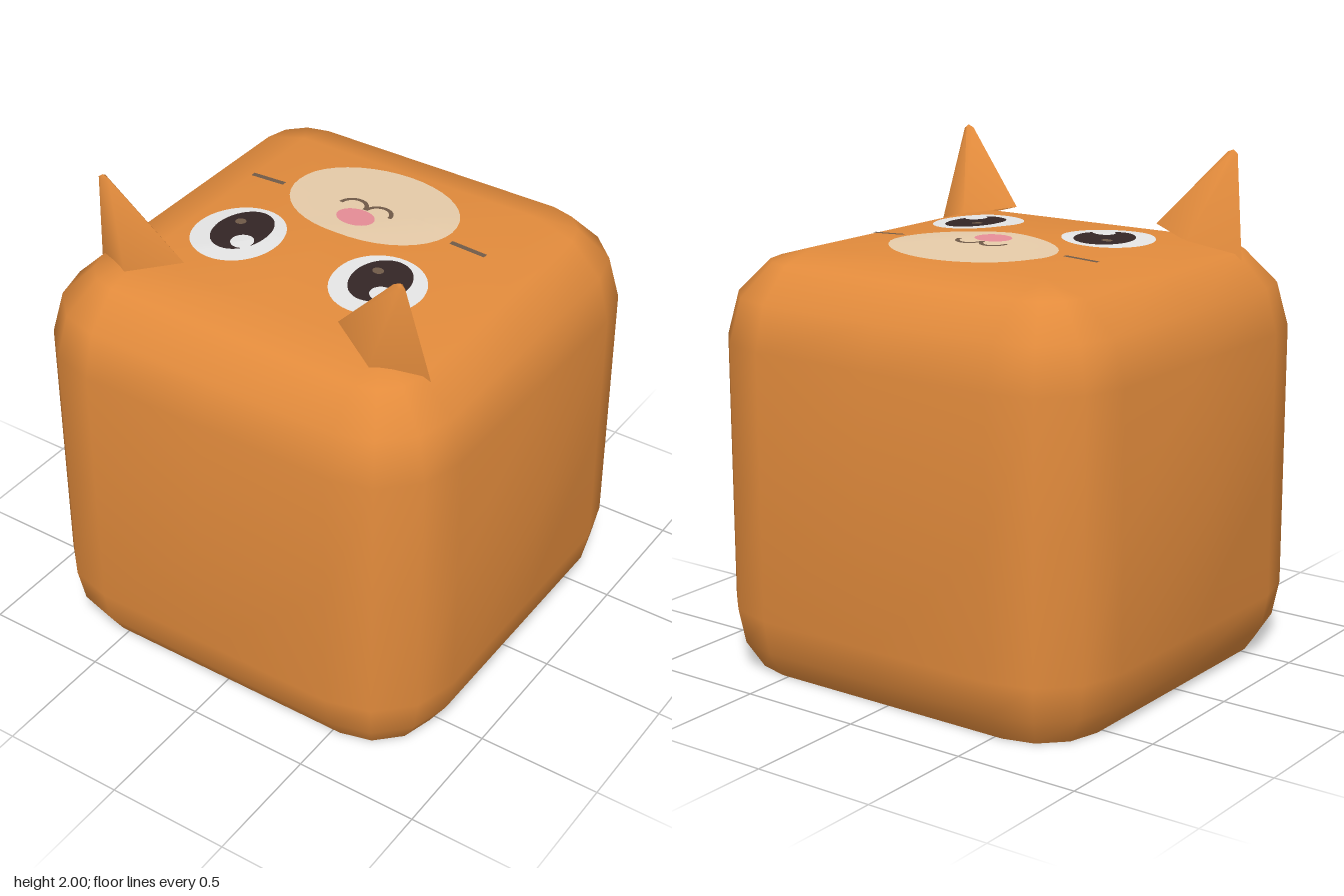
import * as THREE from 'three';
import { mergeVertices, toCreasedNormals } from 'three/addons/utils/BufferGeometryUtils.js';

const CORE = 0.53, TOP = 1.66, PEAK = 0.024;

function material(name, color, side = THREE.FrontSide) {
  const m = new THREE.MeshStandardMaterial({ color, side });
  m.name = name;
  return m;
}

// Skin rings of [x, y, z] points from bottom to top, closed by an apex
function loft(rings, apex) {
  const n = rings[0].length, index = [];
  const points = [...rings.flat(), apex];
  const last = points.length - 1;
  rings.forEach((ring, r) => {
    for (let i = 0; i < n; i++) {
      const a = r * n + i, b = r * n + (i + 1) % n;
      if (r === rings.length - 1) index.push(a, last, b);
      else index.push(a, a + n, b, b, a + n, b + n);
    }
  });
  const g = new THREE.BufferGeometry();
  g.setAttribute('position', new THREE.Float32BufferAttribute(points.flat(), 3));
  g.setIndex(index);
  return g;
}

// Rounded square ring: core square grown by r, side middles pushed out by bulge
function bodyRing([y, r, bulge = 0]) {
  const ring = [];
  for (let k = 0; k < 4; k++) {
    const a = k * Math.PI / 2, d = CORE + r + bulge;
    ring.push([d * Math.cos(a), y, d * Math.sin(a)]);
    const cx = k === 0 || k === 3 ? CORE : -CORE, cz = k < 2 ? CORE : -CORE;
    for (let j = 0; j < 4; j++) {
      const t = a + j * Math.PI / 6;
      ring.push([cx + r * Math.cos(t), y, cz + r * Math.sin(t)]);
    }
  }
  return ring;
}

// Lay a flat shape on the gently peaked top of the body
function layOnTop(g, x, z, lift) {
  g.rotateX(-Math.PI / 2).translate(x, 0, z);
  const p = g.attributes.position;
  for (let i = 0; i < p.count; i++) {
    const d = Math.max(Math.abs(p.getX(i)), Math.abs(p.getZ(i)));
    p.setY(i, TOP + PEAK * (1 - Math.min(1, d / CORE)) + lift);
  }
  g.computeVertexNormals();
  return g;
}

export function createModel() {
  const model = new THREE.Group();
  model.name = 'cubeFox';
  const orange = material('orange fur', 0xe28b3c, THREE.DoubleSide);
  const cream = material('cream', 0xf0d4b0);
  const white = material('eye white', 0xe6e6e6);
  const black = material('pupil black', 0x342626);
  const pink = material('nose pink', 0xf2949f);
  const brown = material('brown', 0x705a48);

  const add = (name, geometry, mat) => {
    const mesh = new THREE.Mesh(geometry, mat);
    mesh.name = name;
    model.add(mesh);
  };
  const disc = (name, mat, x, z, rx, rz, lift) =>
    add(name, layOnTop(new THREE.RingGeometry(0.001, 1, 40, 5).scale(rx, rz, 1), x, z, lift), mat);

  // Hollow rounded cube, open underneath
  const rows = [[0, 0.25], [0.11, 0.322], [0.25, 0.35], [0.78, 0.35, 0.05],
    [1.31, 0.35], [1.483, 0.303], [1.61, 0.175], [TOP, 0]];
  const body = mergeVertices(loft(rows.map(bodyRing), [0, TOP + PEAK, 0]));
  body.computeVertexNormals();
  add('body', body, orange);

  // Muzzle and nose
  disc('muzzle', cream, 0, -0.24, 0.35, 0.262, 0.004);
  disc('nose', pink, 0, -0.11, 0.078, 0.06, 0.008);

  for (const s of [-1, 1]) {
    const side = s > 0 ? 'left' : 'right';

    // Ear: diamond base rising to a small blunt tip
    const base = [[0.73, 1.585, 0.51], [0.54, 1.635, 0.615], [0.34, 1.69, 0.51], [0.54, 1.655, 0.41]];
    const tip = [[0.66, 1.985, 0.58], [0.64, 1.985, 0.592], [0.615, 1.99, 0.58], [0.64, 1.99, 0.565]];
    const flip = ring => {
      const r = ring.map(([x, y, z]) => [s * x, y, z]);
      return s < 0 ? r.reverse() : r;
    };
    add(side + 'Ear', toCreasedNormals(loft([flip(base), flip(tip)], [s * 0.64, 2, 0.58]), 1.1), orange);

    // Eye with pupil and two glints, both eyes lit from the same side
    disc(side + 'Eye', white, s * 0.313, 0.212, 0.178, 0.192, 0.004);
    disc(side + 'Pupil', black, s * 0.31, 0.19, 0.11, 0.142, 0.007);
    disc(side + 'Glint', white, s * 0.31 + 0.05, 0.26, 0.045, 0.045, 0.0095);
    disc(side + 'SmallGlint', brown, s * 0.31 - 0.04, 0.145, 0.022, 0.02, 0.0095);

    // Mouth curve and whisker
    add(side + 'Mouth', layOnTop(new THREE.RingGeometry(0.045, 0.062, 16, 1, 0, Math.PI),
      s * 0.056, -0.175, 0.008), brown);
    add(side + 'Whisker', layOnTop(new THREE.PlaneGeometry(0.15, 0.022, 4, 1), s * 0.455, -0.182, 0.004), brown);
  }
  return model;
}
